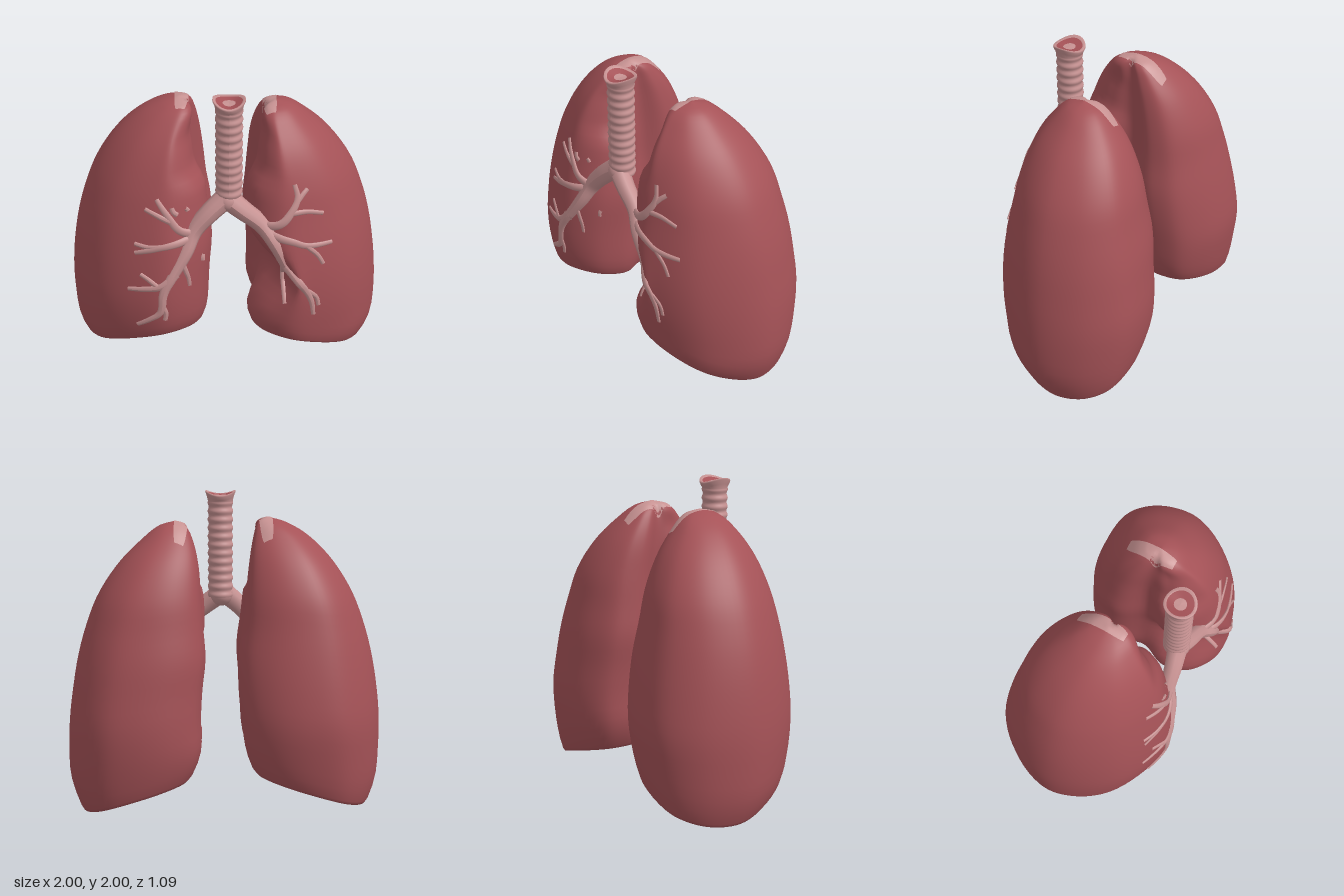
import * as THREE from 'three';

const mat = (name, color) => Object.assign(new THREE.MeshStandardMaterial({ color }), { name });
const lungRed = mat('lung red', 0xa55257);
const airwayPink = mat('airway pink', 0xc79292);
const V = (x, y, z) => new THREE.Vector3(x, y, z);
const smooth = THREE.MathUtils.smoothstep;

// Heights at which the lung widths are given
const LEVELS = [0, 0.2, 0.4, 0.6, 0.8, 1, 1.2, 1.4, 1.6, 1.75, 1.83, 1.855];
const LUNGS = {
  right: {
    side: -1, top: 1.855, rim: 0.045, lift: 0.09, cardiac: 0.02,
    inner: [0.3, 0.2, 0.13, 0.1, 0.08, 0.08, 0.11, 0.13, 0.155, 0.185, 0.22, 0.28],
    outer: [0.92, 0.985, 1, 1, 0.98, 0.945, 0.89, 0.81, 0.68, 0.525, 0.38, 0.28],
    back: [-0.44, -0.485, -0.52, -0.54, -0.52, -0.485, -0.44, -0.39, -0.29, -0.165, -0.065, 0.03],
    front: [0.3, 0.43, 0.5, 0.53, 0.525, 0.5, 0.46, 0.41, 0.33, 0.23, 0.14, 0.03],
  },
  left: {
    side: 1, top: 1.83, rim: 0, lift: 0.05, cardiac: 0.2,
    inner: [0.3, 0.2, 0.13, 0.13, 0.12, 0.1, 0.115, 0.13, 0.15, 0.19, 0.24, 0.31],
    outer: [0.92, 0.985, 0.995, 0.985, 0.96, 0.925, 0.87, 0.79, 0.655, 0.505, 0.4, 0.31],
    back: [-0.44, -0.485, -0.52, -0.53, -0.51, -0.485, -0.44, -0.39, -0.29, -0.165, -0.065, 0.03],
    front: [0.3, 0.42, 0.47, 0.49, 0.49, 0.47, 0.43, 0.39, 0.32, 0.22, 0.13, 0.03],
  },
};

// Plan outline of a lung
const OUTLINE = new THREE.CatmullRomCurve3([
  [1, -0.06], [0.96, 0.14], [0.8, 0.37], [0.56, 0.5], [0.36, 0.53], [0.17, 0.42], [0.1, 0.25],
  [0.105, 0.09], [0.11, -0.1], [0.115, -0.24], [0.16, -0.38], [0.32, -0.49],
  [0.54, -0.53], [0.75, -0.49], [0.92, -0.32],
].map(([x, z]) => V((x - 0.55) / 0.45, 0, z / 0.53)), true);

// Smooth interpolation of a width table
function lookup(table, y) {
  const n = LEVELS.length;
  y = THREE.MathUtils.clamp(y, 0, LEVELS[n - 1]);
  let i = 0;
  while (i < n - 2 && y > LEVELS[i + 1]) i++;
  const slope = (k) => {
    const a = Math.max(k - 1, 0), b = Math.min(k + 1, n - 1);
    return (table[b] - table[a]) / (LEVELS[b] - LEVELS[a]);
  };
  const h = LEVELS[i + 1] - LEVELS[i], t = (y - LEVELS[i]) / h, q = t * t, c = q * t;
  return (2 * c - 3 * q + 1) * table[i] + (c - 2 * q + t) * h * slope(i)
    + (3 * q - 2 * c) * table[i + 1] + (c - q) * h * slope(i + 1);
}

// Lung: rings run from the hollow underside, round the rim and up to the apex
function makeLung(name, d) {
  const N = 80, rings = [];
  for (const [s, dome] of [[0, 0.17], [0.25, 0.16], [0.5, 0.12], [0.7, 0.065], [0.83, 0.02], [0.92, 0], [0.97, 0.004]])
    rings.push({ s, dome, t: 0 });
  for (let k = 0; k <= 36; k++) {
    const t = 0.015 + 0.985 * Math.sin((k / 36) * Math.PI / 2);
    rings.push({ s: 1 - 0.012 * Math.max(0, 1 - t / 0.06), dome: 0, t: Math.min(t, 1) });
  }
  const pos = [], index = [];
  rings.forEach(({ s, dome, t }, i) => {
    for (let j = 0; j < N; j++) {
      const p = OUTLINE.getPoint(j / N), u = p.x * s, w = p.z * s;
      const rim = d.rim + 0.12 * (1 - u) + 0.045 * w + 0.035 * w * w + d.lift * Math.max(w, 0) ** 2 + dome;
      const y = rim + (d.top - rim) * t, ly = y * 1.855 / d.top;
      const xin = lookup(d.inner, ly), xout = lookup(d.outer, ly);
      const zb = lookup(d.back, ly), zf = lookup(d.front, ly);
      let x = xin + (xout - xin) * (u + 1) / 2;
      const z = zb + (zf - zb) * (w + 1) / 2;
      // hollow on the inner side, shallower near the rim
      x += (0.07 + 0.04 * smooth(y, 0.35, 0.9)) * (xout - xin)
        * Math.exp(-(((w - 0.03) / 0.23) ** 2)) * (1 - smooth(u, -1, 0));
      // heart hollow and receding upper front border
      const frontInner = smooth(w, 0, 0.5) * (1 - smooth(u, -0.95, 0));
      x += frontInner * (d.cardiac * Math.exp(-(((y - 0.77) / 0.21) ** 2))
        + 0.06 * smooth(y, 1.35, 1.5) * (1 - smooth(y, 1.65, 1.83)));
      pos.push(d.side * x, y, z);
      if (i < rings.length - 1) {
        const a = i * N + j, b = i * N + (j + 1) % N, c = a + N, e = b + N;
        if (d.side > 0) index.push(a, c, b, b, c, e);
        else index.push(a, b, c, b, e, c);
      }
    }
  });
  const geo = new THREE.BufferGeometry();
  geo.setAttribute('position', new THREE.Float32BufferAttribute(pos, 3));
  geo.setIndex(index);
  geo.computeVertexNormals();
  const mesh = new THREE.Mesh(geo, lungRed);
  mesh.name = name;
  return mesh;
}

// Tube whose radius changes evenly from r0 to r1, flattened in depth by the factor flat
function taperTube(name, points, r0, r1, flat) {
  const path = new THREE.CatmullRomCurve3(points), S = 24, R = 10;
  const geo = new THREE.TubeGeometry(path, S, 1, R), p = geo.attributes.position, v = V();
  for (let i = 0; i <= S; i++) {
    const c = path.getPointAt(i / S), r = r0 + (r1 - r0) * i / S;
    for (let j = 0; j <= R; j++) {
      const k = i * (R + 1) + j;
      v.fromBufferAttribute(p, k).sub(c).multiplyScalar(r);
      v.z *= flat;
      v.add(c);
      p.setXYZ(k, v.x, v.y, v.z);
    }
  }
  geo.computeVertexNormals();
  const mesh = new THREE.Mesh(geo, airwayPink);
  mesh.name = name;
  return mesh;
}

// Small airways lying on the front of each lung: start radius, then x, y points
const BRANCHES = {
  right: [
    [0.034, [0.2, 1.11], [0.29, 1.16], [0.35, 1.25], [0.42, 1.36]],
    [0.02, [0.34, 1.22], [0.42, 1.26], [0.49, 1.29]],
    [0.03, [0.21, 1.09], [0.38, 1.06], [0.47, 1.03], [0.56, 1.0]],
    [0.018, [0.4, 1.06], [0.48, 1.05], [0.56, 1.06]],
    [0.03, [0.31, 0.87], [0.4, 0.79], [0.5, 0.76], [0.61, 0.74]],
    [0.018, [0.43, 0.79], [0.48, 0.83], [0.53, 0.86]],
    [0.034, [0.33, 0.86], [0.39, 0.74], [0.41, 0.6], [0.48, 0.53], [0.56, 0.47]],
    [0.018, [0.4, 0.65], [0.38, 0.59], [0.385, 0.53]],
    [0.02, [0.27, 0.93], [0.24, 0.83], [0.23, 0.76]],
    [0.02, [0.3, 1.26], [0.32, 1.28], [0.33, 1.31]],
    [0.018, [0.235, 1.27], [0.24, 1.28], [0.25, 1.29]],
    [0.018, [0.15, 0.9], [0.15, 0.92], [0.145, 0.94]],
  ],
  left: [
    [0.034, [0.24, 1.15], [0.33, 1.18], [0.39, 1.25], [0.43, 1.34], [0.41, 1.43]],
    [0.02, [0.39, 1.25], [0.49, 1.25], [0.59, 1.22]],
    [0.018, [0.42, 1.31], [0.46, 1.36], [0.49, 1.39]],
    [0.03, [0.28, 1.1], [0.4, 1.07], [0.5, 1.03], [0.65, 1.02]],
    [0.018, [0.49, 1.03], [0.56, 0.96], [0.6, 0.89]],
    [0.032, [0.37, 0.88], [0.47, 0.76], [0.53, 0.64], [0.55, 0.52]],
    [0.018, [0.49, 0.73], [0.56, 0.66], [0.58, 0.59]],
    [0.025, [0.36, 0.89], [0.36, 0.75], [0.37, 0.6]],
  ],
};
const BRONCHI = {
  right: [[0, 1.33, 0.35], [0.1, 1.24, 0.38], [0.2, 1.12, 0.42], [0.25, 1, 0.45], [0.34, 0.84, 0.46]],
  left: [[0, 1.33, 0.35], [0.1, 1.25, 0.37], [0.22, 1.15, 0.4], [0.3, 1.04, 0.42], [0.38, 0.86, 0.43]],
};

export function createModel() {
  const model = new THREE.Group();
  model.name = 'lungs and airway';
  const ray = new THREE.Raycaster();

  for (const key of ['right', 'left']) {
    const d = LUNGS[key], lung = makeLung(key + 'Lung', d);
    lung.updateMatrixWorld();
    model.add(lung);
    const frontZ = (x, y) => {
      ray.set(V(x, y, 2), V(0, 0, -1));
      const hit = ray.intersectObject(lung)[0];
      return hit ? hit.point.z : 0.4;
    };

    // main bronchus
    model.add(taperTube(key + 'Bronchus', BRONCHI[key].map(([x, y, z], i) =>
      V(d.side * x, y, i < 2 ? z : Math.max(z, frontZ(d.side * x, y)) - 0.015)), 0.07, 0.036, 0.9));

    // branching airways, flat against the lung surface
    const branches = new THREE.Group();
    branches.name = key + 'Branches';
    for (const [r, ...pts] of BRANCHES[key]) {
      const line = new THREE.SplineCurve(pts.map(([x, y]) => new THREE.Vector2(d.side * x, y)));
      branches.add(taperTube('branch', line.getPoints(10).map((p) =>
        V(p.x, p.y, frontZ(p.x, p.y))), r, 0.015, 0.5));
    }
    model.add(branches);

    // pale patch laid over the apex
    const patch = new THREE.PlaneGeometry(0.085, 0.32, 6, 24).rotateX(-Math.PI / 2);
    const p = patch.attributes.position;
    for (let i = 0; i < p.count; i++) {
      const z = p.getZ(i) - 0.015, taper = 0.5 + 0.5 * Math.sqrt(Math.max(0, 1 - (p.getZ(i) / 0.165) ** 2));
      const x = d.side * (0.268 + 0.3 * z * z) + p.getX(i) * taper;
      ray.set(V(x, 3, z), V(0, -1, 0));
      const hit = ray.intersectObject(lung)[0];
      p.setXYZ(i, x, (hit ? hit.point.y : 1.75) + 0.004, z);
    }
    patch.computeVertexNormals();
    const apex = new THREE.Mesh(patch, airwayPink);
    apex.name = key + 'ApexPatch';
    model.add(apex);
  }

  // ringed windpipe with a flared, dished and saddle-shaped top
  const profile = [];
  for (let i = 0; i <= 88; i++) {
    const y = 1.3 + 0.63 * i / 88;
    profile.push([0.08 + 0.004 * Math.sin((y - 1.3) / 0.055 * Math.PI * 2), y]);
  }
  profile.push([0.088, 1.96], [0.099, 1.99], [0.097, 2], [0.08, 1.988]);
  const turned = (name, material, pts) => {
    const geo = new THREE.LatheGeometry(pts.map(([r, y]) => new THREE.Vector2(r, y)), 32);
    const p = geo.attributes.position;
    for (let i = 0; i < p.count; i++)
      p.setY(i, p.getY(i) - 3 * p.getZ(i) ** 2 * smooth(p.getY(i), 1.93, 1.96));
    geo.computeVertexNormals();
    const mesh = new THREE.Mesh(geo, material);
    mesh.name = name;
    mesh.position.set(0.017, 0, 0.33);
    model.add(mesh);
  };
  turned('windpipe', airwayPink, profile);
  turned('windpipeLining', lungRed, [[0.08, 1.988], [0.038, 1.97]]);
  turned('windpipeCentre', airwayPink, [[0.038, 1.97], [0, 1.967]]);

  // joint where the windpipe forks
  const fork = new THREE.Mesh(new THREE.SphereGeometry(0.08, 24, 16), airwayPink);
  fork.name = 'windpipeFork';
  fork.position.set(0.01, 1.315, 0.34);
  model.add(fork);
  return model;
}
